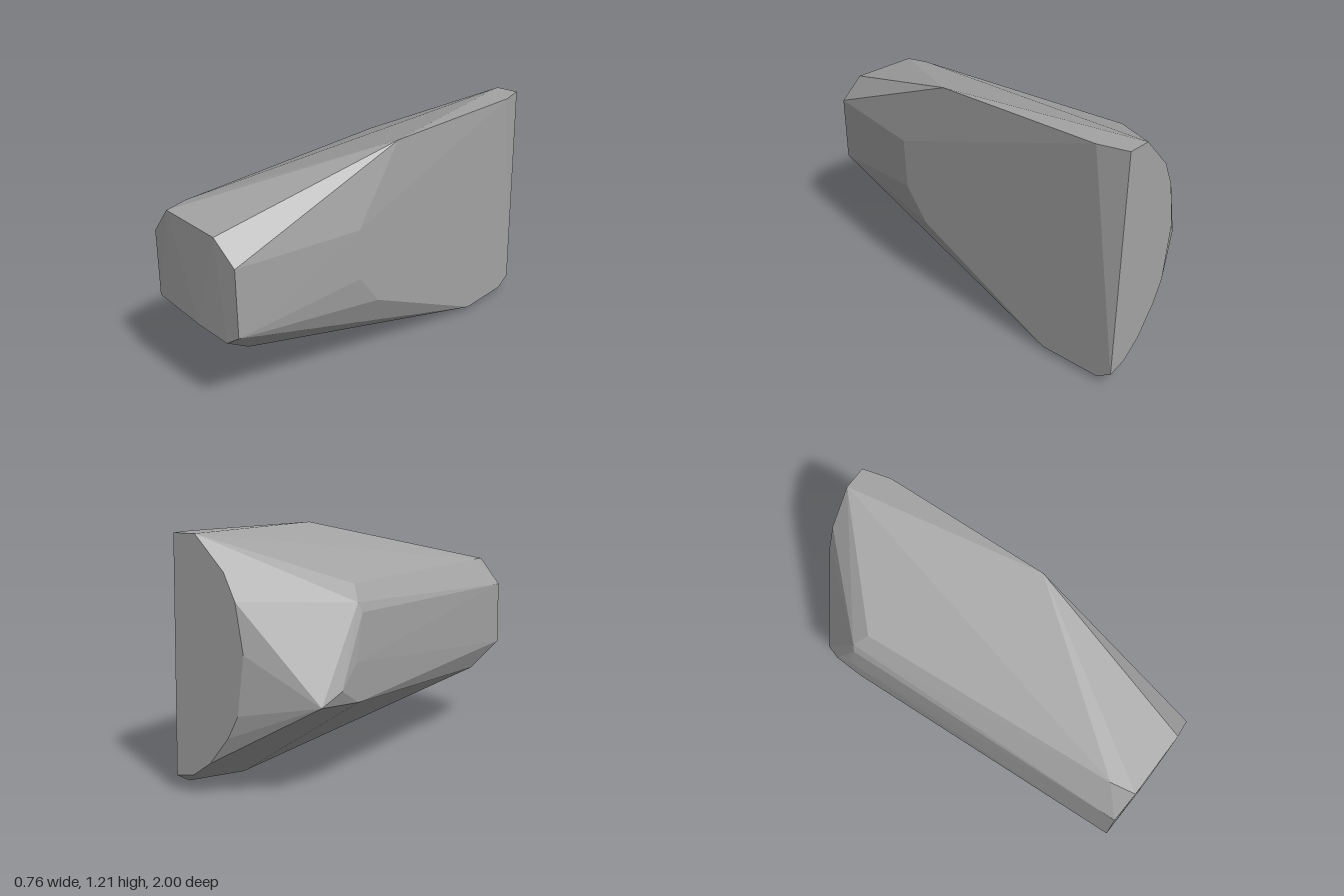
import * as THREE from 'three';
import { ConvexGeometry } from 'three/addons/geometries/ConvexGeometry.js';

// Corner rings of the faceted boulder, each corner as [x, y, z]
const frontFace = [
  [-0.24, 0.975, 0.975], [0.115, 0.96, 1], [0.245, 0.85, 1], [0.245, 0.505, 1],
  [0.16, 0.445, 1], [-0.04, 0.46, 0.995], [-0.365, 0.485, 0.965], [-0.365, 0.83, 0.96],
];
const backFace = [
  [0.345, 1.215, -1], [0.22, 1.215, -1], [0.06, 1.055, -1], [0, 0.93, -1], [-0.04, 0.7, -1],
  [0, 0.42, -1], [0.06, 0.31, -1], [0.17, 0.175, -1], [0.276, 0.1, -1], [0.38, 0.08, -1],
];
const flatSide = [
  [0.365, 1.215, 0.06], [0.38, 1.215, -0.85], [0.38, 0.85, 0.35], [0.38, 0.59, 0.34],
  [0.38, 0.42, 0.21], [0.38, 0.03, -0.6], [0.38, 0.03, -0.92],
];
const roundedSide = [
  [-0.3, 0.98, -0.52], [-0.36, 0.905, -0.58], [-0.378, 0.86, -0.57], [-0.385, 0.64, -0.63],
  [-0.38, 0.53, -0.74], [-0.34, 0.47, -0.84], [-0.375, 0.45, -0.6], [-0.26, 0.98, 0.85],
];
const underside = [
  [0.295, 0.005, -0.62], [0.145, 0.355, 0.86], [-0.215, 0.355, 0.86], [-0.31, 0.36, 0.72],
];

export function createModel() {
  const group = new THREE.Group();
  group.name = 'rock';
  const stone = new THREE.MeshStandardMaterial({ color: 0xa3a3a3 });
  stone.name = 'grey stone';
  stone.flatShading = true;

  // Single convex boulder wrapped around the corner rings
  const corners = [frontFace, backFace, flatSide, roundedSide, underside]
    .flat().map((p) => new THREE.Vector3(...p));
  const boulder = new THREE.Mesh(new ConvexGeometry(corners), stone);
  boulder.name = 'boulder';
  boulder.position.y = -0.005;
  group.add(boulder);
  return group;
}
